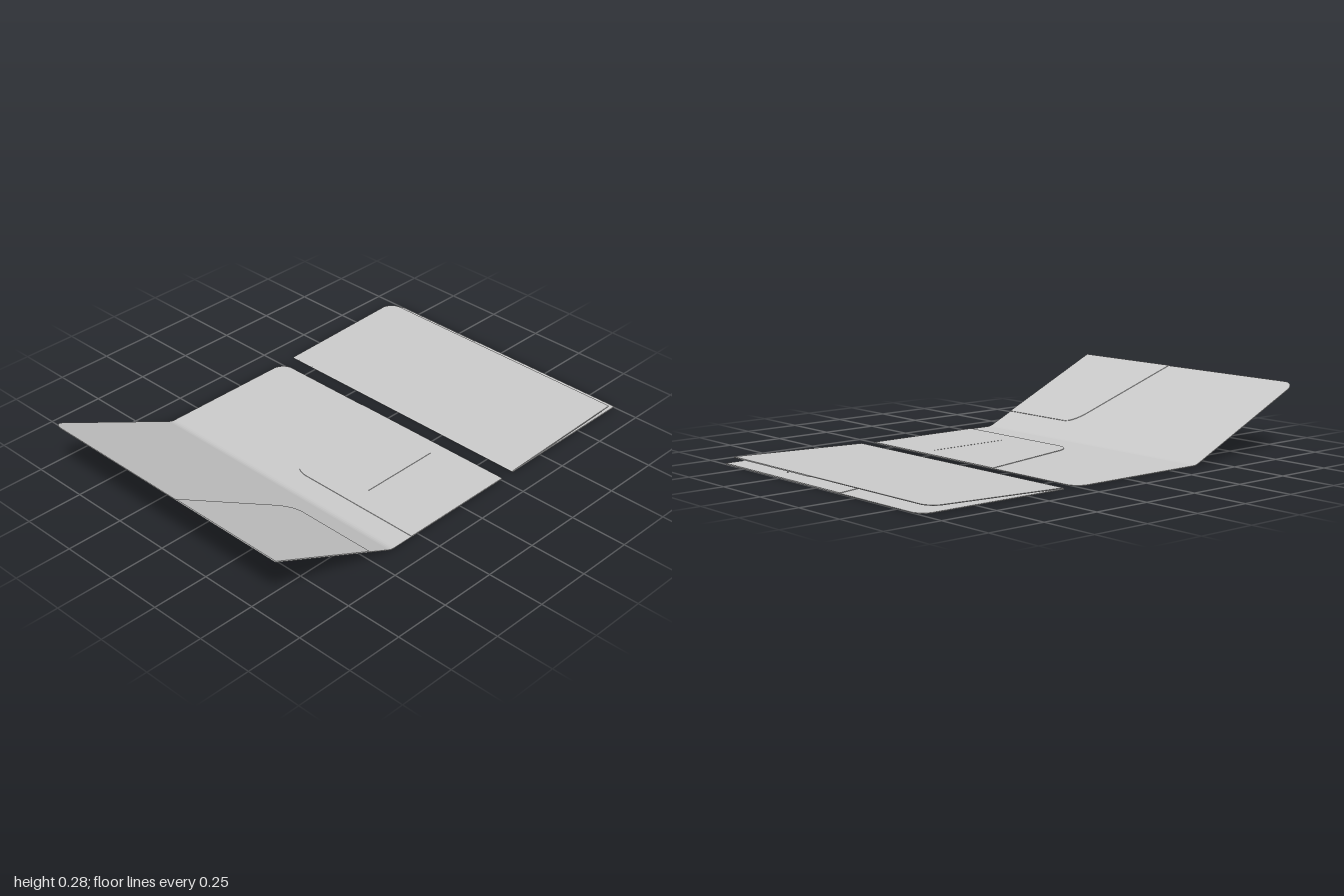
import * as THREE from 'three';
import { toCreasedNormals } from 'three/addons/utils/BufferGeometryUtils.js';

const HALF = 0.635;   // half depth of the sheets
const THICK = 0.003;  // cover card
const POCKET = 0.002; // pocket card
const CORNER = 0.05;

const material = new THREE.MeshStandardMaterial({ color: 0xcccccc, side: THREE.DoubleSide });

function addMesh(parent, name, geometry) {
  const mesh = new THREE.Mesh(toCreasedNormals(geometry, 0.5), material);
  mesh.name = name;
  parent.add(mesh);
}

// Lays an outline drawn in (x, -z) flat, with its thickness going up from y
function slab(shape, thickness, y = 0) {
  return new THREE.ExtrudeGeometry(shape, { depth: thickness, bevelEnabled: false, curveSegments: 12 })
    .rotateX(-Math.PI / 2).translate(0, y, 0);
}

// Cover panel from the fold to its outer edge; the far outer corner is rounded
function panelShape(s, length) {
  const shape = new THREE.Shape();
  shape.moveTo(0, -HALF);
  shape.lineTo(s * length, -HALF);
  shape.lineTo(s * length, HALF - CORNER);
  shape.quadraticCurveTo(s * (length - 0.008), HALF - 0.008, s * (length - CORNER), HALF);
  shape.lineTo(0, HALF);
  shape.closePath();
  return shape;
}

// Pocket with a sloping top edge and one rounded inner corner
function pocketShape(s, length, width, outerZ, bendX, bendZ, drop) {
  const x = d => s * (length - d);
  const shape = new THREE.Shape();
  shape.moveTo(x(0), -HALF);
  shape.lineTo(x(0), -outerZ);
  shape.lineTo(x(bendX), -bendZ);
  shape.quadraticCurveTo(x(width), -bendZ - 0.02, x(width), -bendZ - drop);
  shape.lineTo(x(width), -HALF);
  shape.closePath();
  return shape;
}

// Curved strip of card joining the two panels
function foldGeometry(radius, angle) {
  const shape = new THREE.Shape();
  const steps = 16;
  const point = (r, i) => {
    const t = angle * i / steps;
    return [-r * Math.sin(t), radius - r * Math.cos(t)];
  };
  shape.moveTo(0, 0);
  for (let i = 1; i <= steps; i++) shape.lineTo(...point(radius, i));
  for (let i = steps; i >= 0; i--) shape.lineTo(...point(radius - THICK, i));
  shape.closePath();
  return new THREE.ExtrudeGeometry(shape, { depth: HALF * 2, bevelEnabled: false })
    .translate(0, 0, -HALF);
}

// One folder, with its fold at the origin and its flap raised by the given angle
function folder(name, { baseLength, flapLength, foldWidth, angle }) {
  const group = new THREE.Group();
  group.name = name;

  addMesh(group, 'backCover', slab(panelShape(1, baseLength), THICK));

  // Base pocket with a card slit
  const pocket = pocketShape(1, baseLength, 0.54, -0.15, 0.45, -0.04, 0.1);
  const x0 = baseLength - 0.44, x1 = baseLength - 0.07;
  const slit = new THREE.Path();
  slit.moveTo(x0, -0.308);
  slit.lineTo(x1, -0.308);
  slit.lineTo(x1, -0.311);
  slit.lineTo(x0, -0.311);
  slit.closePath();
  pocket.holes.push(slit);
  addMesh(group, 'basePocket', slab(pocket, POCKET, THICK));

  // Fold
  const radius = foldWidth / angle;
  addMesh(group, 'fold', foldGeometry(radius, angle));

  // Flap, hung on the end of the fold
  const flap = new THREE.Group();
  flap.name = 'flap';
  flap.position.set(-radius * Math.sin(angle), radius * (1 - Math.cos(angle)), 0);
  flap.rotation.z = -angle;
  addMesh(flap, 'frontCover', slab(panelShape(-1, flapLength), THICK));
  addMesh(flap, 'flapPocket',
    slab(pocketShape(-1, flapLength, 0.53, 0.1, 0.43, 0.2, 0.08), POCKET, THICK));
  group.add(flap);
  return group;
}

export function createModel() {
  const model = new THREE.Group();
  model.name = 'presentationFolders';

  const open = folder('openFolder',
    { baseLength: 0.637, flapLength: 0.646, foldWidth: 0.035, angle: 0.431 });
  open.position.x = -0.38;

  const closed = folder('closedFolder',
    { baseLength: 0.675, flapLength: 0.635, foldWidth: 0.012, angle: Math.PI - 0.03 });
  closed.position.x = 0.325;

  model.add(open, closed);
  return model;
}
